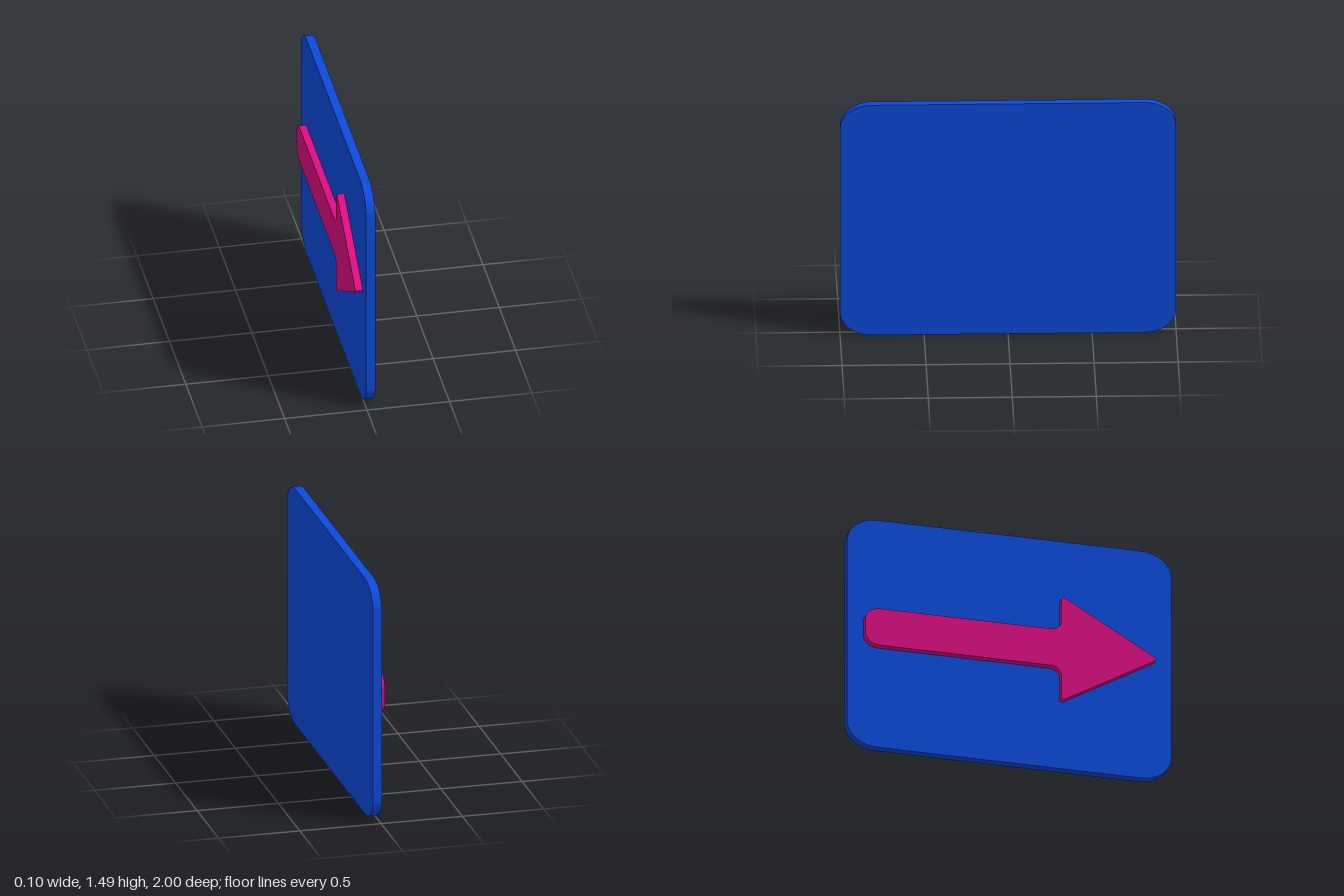
import * as THREE from 'three';
import { toCreasedNormals } from 'three/addons/utils/BufferGeometryUtils.js';

// Closed outline with rounded corners. Each corner is [z, y, rz, ry]:
// the curve starts and ends at a distance scaled by the edge direction.
function roundedOutline(corners) {
  const shape = new THREE.Shape();
  const n = corners.length;
  const k = 0.5523;
  corners.forEach(([z, y, rz, ry], i) => {
    const p = new THREE.Vector2(z, y);
    const cut = (q) => {
      const d = new THREE.Vector2(q[0] - z, q[1] - y).normalize();
      return new THREE.Vector2(d.x * rz, d.y * ry);
    };
    const a = p.clone().add(cut(corners[(i + n - 1) % n]));
    const b = p.clone().add(cut(corners[(i + 1) % n]));
    const c1 = a.clone().lerp(p, k);
    const c2 = b.clone().lerp(p, k);
    if (i === 0) shape.moveTo(a.x, a.y);
    else shape.lineTo(a.x, a.y);
    shape.bezierCurveTo(c1.x, c1.y, c2.x, c2.y, b.x, b.y);
  });
  shape.closePath();
  return shape;
}

// Plate whose outline lies in the z-y plane, thickened from xStart towards -x
function plate(name, corners, xStart, depth, material) {
  const geometry = new THREE.ExtrudeGeometry(roundedOutline(corners), {
    depth, bevelEnabled: false, curveSegments: 16,
  });
  geometry.rotateY(-Math.PI / 2);
  geometry.translate(xStart, 0, 0);
  const mesh = new THREE.Mesh(toCreasedNormals(geometry, 0.5), material);
  mesh.name = name;
  return mesh;
}

export function createModel() {
  const blue = new THREE.MeshStandardMaterial({ color: 0x0d4adc });
  blue.name = 'blue';
  const pink = new THREE.MeshStandardMaterial({ color: 0xdc0e82 });
  pink.name = 'pink';

  const group = new THREE.Group();
  group.name = 'arrowSign';

  // Sign board
  const rz = 0.19, ry = 0.15, top = 1.49;
  group.add(plate('board', [
    [-1, 0, rz, ry], [1, 0, rz, ry], [1, top, rz, ry], [-1, top, rz, ry],
  ], 0.05, 0.055, blue));

  // Raised arrow pointing to +z: lower half, tip, mirrored upper half
  const mid = 0.77;
  const half = [
    [-0.9, 0.12, 0.09, 0.075], // tail corner
    [0.31, 0.12, 0.07, 0.06],  // inner corner under the head
    [0.31, 0.345, 0.03, 0.03], // head corner
  ];
  const lower = half.map(([z, h, a, b]) => [z, mid - h, a, b]);
  const upper = half.map(([z, h, a, b]) => [z, mid + h, a, b]).reverse();
  group.add(plate('arrow', [...lower, [0.908, mid, 0.03, 0.03], ...upper],
    -0.005, 0.045, pink));

  return group;
}
